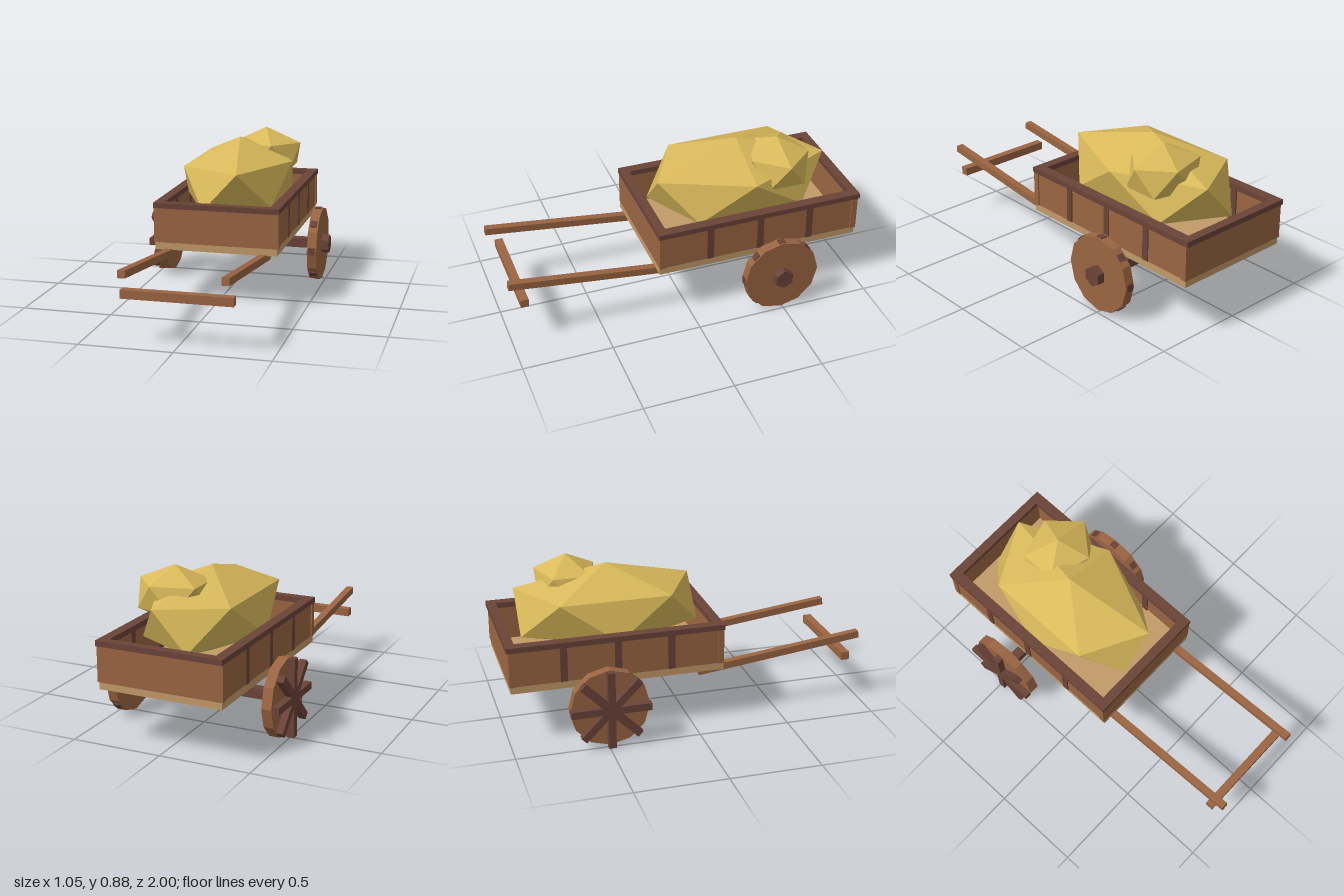
import * as THREE from 'three';
import { ConvexGeometry } from 'three/addons/geometries/ConvexGeometry.js';

const mat = (name, color) => {
  const m = new THREE.MeshStandardMaterial({ color, flatShading: true });
  m.name = name;
  return m;
};

export function createModel() {
  const brown = mat('brown wood', 0x9b6542);
  const dark = mat('dark wood', 0x6a4338);
  const tan = mat('pale wood', 0xc29a68);
  const straw = mat('straw', 0xd9b95a);
  const cart = new THREE.Group();
  cart.name = 'handCart';

  const add = (parent, name, geometry, material, x = 0, y = 0, z = 0) => {
    const mesh = new THREE.Mesh(geometry, material);
    mesh.name = name;
    mesh.position.set(x, y, z);
    parent.add(mesh);
    return mesh;
  };
  // Box given by its limits on each axis
  const box = (name, material, [x0, x1], [y0, y1], [z0, z1]) =>
    add(cart, name, new THREE.BoxGeometry(x1 - x0, y1 - y0, z1 - z0), material,
      (x0 + x1) / 2, (y0 + y1) / 2, (z0 + z1) / 2);

  // Bed: floor, end walls, side walls, posts and rim
  box('floor', tan, [-0.345, 0.345], [0.297, 0.338], [-0.985, 0.178]);
  box('frontWall', brown, [-0.352, 0.352], [0.336, 0.532], [0.145, 0.178]);
  box('backWall', brown, [-0.352, 0.352], [0.336, 0.532], [-0.99, -0.957]);
  box('frontRim', dark, [-0.354, 0.354], [0.53, 0.56], [0.13, 0.182]);
  box('backRim', dark, [-0.354, 0.354], [0.53, 0.56], [-1, -0.95]);
  for (const s of [-1, 1]) {
    const span = (a, b) => (s > 0 ? [a, b] : [-b, -a]);
    box('sideWall', brown, span(0.313, 0.345), [0.336, 0.532], [-0.957, 0.145]);
    box('sideRim', dark, span(0.298, 0.354), [0.53, 0.56], [-0.95, 0.13]);
    for (const z of [-0.115, -0.407, -0.7])
      box('sidePost', dark, span(0.305, 0.351), [0.338, 0.53], [z - 0.019, z + 0.019]);

    // Sloping pull shaft
    const shaft = add(cart, 'shaft', new THREE.BoxGeometry(0.04, 0.04, 0.945), brown,
      s * 0.265, 0.324, 0.525);
    shaft.rotation.x = -0.12;
  }
  box('crossbar', brown, [-0.293, 0.293], [0.238, 0.284], [0.895, 0.94]);

  // Axle and wheels
  box('axle', dark, [-0.45, 0.45], [0.189, 0.244], [-0.515, -0.46]);
  const wheel = (name, discX, spokeX, hubX) => {
    const g = new THREE.Group();
    g.name = name;
    g.position.set(0, 0.216, -0.487);
    cart.add(g);
    add(g, 'wheelDisc', new THREE.CylinderGeometry(0.215, 0.215, 0.055, 12).rotateZ(Math.PI / 2),
      brown, discX);
    add(g, 'hub', new THREE.CylinderGeometry(0.055, 0.055, 0.075, 6)
      .rotateY(Math.PI / 6).rotateZ(Math.PI / 2), dark, hubX);
    for (let i = 0; i < 4; i++) {
      const spoke = add(g, 'spokeBar', new THREE.BoxGeometry(0.038, 0.431, 0.04), dark, spokeX);
      spoke.rotation.x = i * Math.PI / 4;
    }
  };
  wheel('leftWheel', 0.4525, 0.4525, 0.4845);
  wheel('rightWheel', -0.4525, -0.505, -0.449);

  // Straw heaps: a twelve-point lump with two poles and two staggered rings
  const lump = (name, [cx, cy, cz], [rx, ry, rz]) => {
    const pts = [new THREE.Vector3(0, ry, 0), new THREE.Vector3(0, -ry, 0)];
    for (let i = 0; i < 5; i++) {
      const a = i * Math.PI * 0.4;
      const x = rx * Math.cos(a), z = rz * Math.sin(a);
      pts.push(new THREE.Vector3(x, ry * 0.447, z), new THREE.Vector3(-x, -ry * 0.447, -z));
    }
    add(cart, name, new ConvexGeometry(pts), straw, cx, cy, cz);
  };
  lump('largeStrawHeap', [0, 0.613, -0.39], [0.312, 0.237, 0.515]);
  lump('smallStrawHeap', [0.115, 0.725, -0.585], [0.205, 0.157, 0.175]);

  return cart;
}
